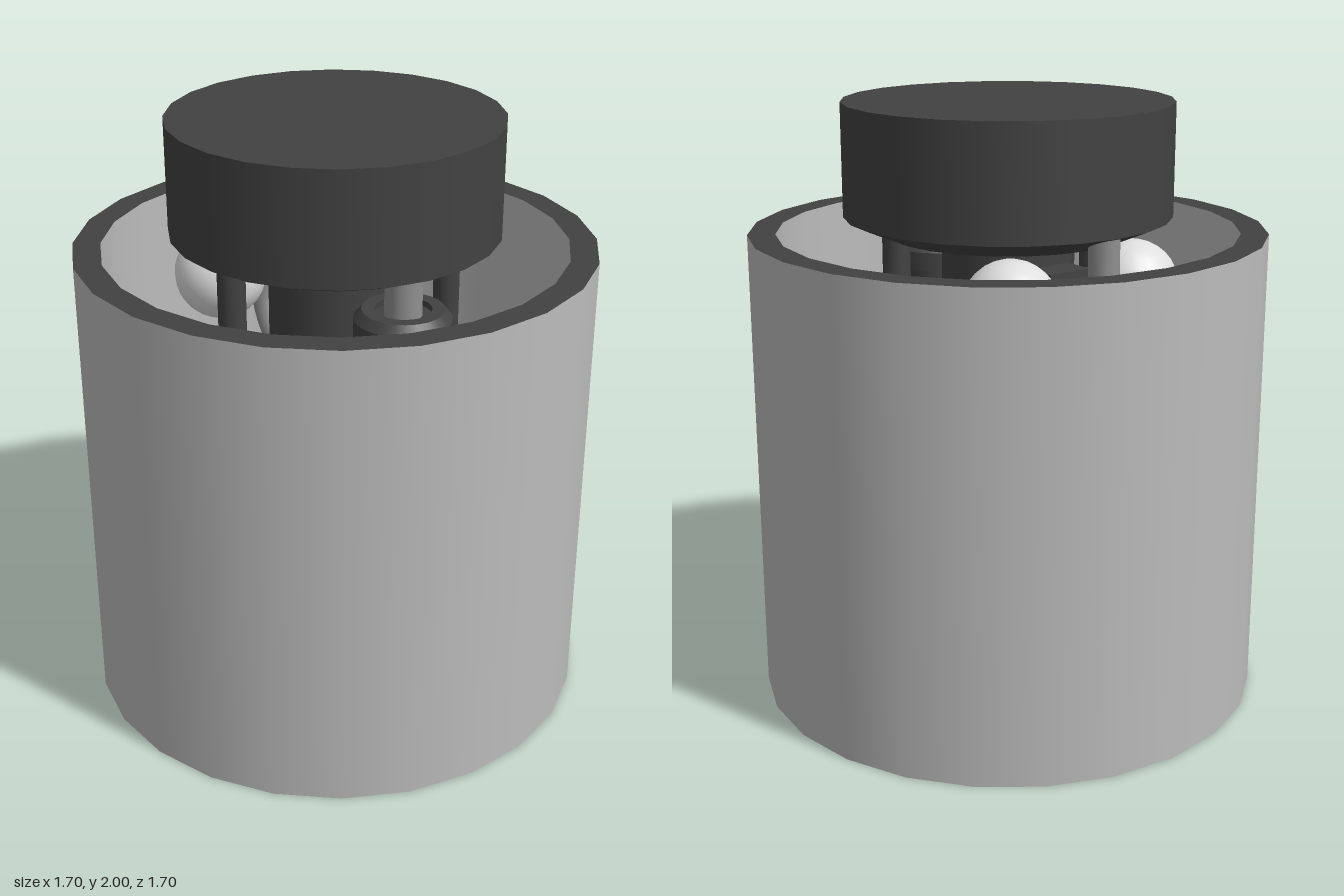
import * as THREE from 'three';

const mat = (name, color) => {
  const m = new THREE.MeshStandardMaterial({ color });
  m.name = name;
  return m;
};

export function createModel() {
  const model = new THREE.Group();
  model.name = 'shroudedEngine';
  const shell = mat('shell grey', 0xbcbcbc);
  const dark = mat('dark metal', 0x424242);
  const pipe = mat('pipe grey', 0x909090);
  const pale = mat('tank white', 0xdedede);

  const add = (name, geometry, material, x = 0, y = 0, z = 0) => {
    const mesh = new THREE.Mesh(geometry, material);
    mesh.name = name;
    mesh.position.set(x, y, z);
    model.add(mesh);
    return mesh;
  };
  // Revolve [radius, height] points; sharp profiles repeat their corners
  const lathe = (pts, sharp = true) => {
    const list = pts.flatMap(([r, y], i) =>
      sharp && i > 0 && i < pts.length - 1
        ? [new THREE.Vector2(r, y), new THREE.Vector2(r, y)]
        : [new THREE.Vector2(r, y)]);
    const geometry = new THREE.LatheGeometry(list, 24);
    geometry.normalizeNormals();
    return geometry;
  };
  const rod = (name, material, r, y0, y1, x, z) =>
    add(name, new THREE.CylinderGeometry(r, r, y1 - y0, 16), material, x, (y0 + y1) / 2, z);
  const tube = (name, r, pts) => {
    const path = new THREE.CatmullRomCurve3(pts.map((p) => new THREE.Vector3(...p)));
    return add(name, new THREE.TubeGeometry(path, 24, r, 12), pipe);
  };

  // Shroud: two walls and dark end rims
  const R = 0.85, r = 0.76, H = 1.58;
  add('shroudOuterWall', lathe([[R, 0], [R, H]]), shell);
  add('shroudInnerWall', lathe([[r, H], [r, 0]]), shell);
  add('shroudTopRim', lathe([[R, H], [r, H]]), dark);
  add('shroudBottomRim', lathe([[r, 0], [R, 0]]), dark);

  // Mounting cap with chamfered underside
  add('cap', lathe([[0, 1.57], [0.4, 1.57], [0.54, 1.63], [0.54, 2], [0, 2]]), dark);

  // Combustion chamber
  add('chamber', lathe([[0, 0.9], [0.15, 0.9], [0.22, 1.02], [0.22, 1.6]]), dark);
  add('chamberCollar', new THREE.CylinderGeometry(0.25, 0.25, 0.07, 24), dark, 0, 1.08, 0);

  // Bell nozzle, with a raised lip at its mouth
  add('nozzleLip', lathe([[0.4, 0], [0.425, 0], [0.44, 0.03], [0.44, 0.11], [0.41, 0.15]]), dark);
  add('nozzleOuter', lathe([[0.41, 0.13], [0.375, 0.26], [0.33, 0.4], [0.27, 0.58],
    [0.2, 0.76], [0.15, 0.92]], false), dark);
  add('nozzleInner', lathe([[0, 0.88], [0.12, 0.86], [0.18, 0.74], [0.25, 0.57],
    [0.31, 0.4], [0.36, 0.22], [0.4, 0]], false), dark);

  // Front pump with its feed and outlet pipes
  add('pump', lathe([[0, 1.08], [0.1, 1.08], [0.12, 1.14], [0.12, 1.4], [0.155, 1.4],
    [0.155, 1.46], [0.13, 1.49], [0.09, 1.49], [0.09, 1.47], [0, 1.47]]), dark, 0, 0, 0.4);
  rod('feedPipe', pipe, 0.06, 1.46, 1.61, 0, 0.4);
  tube('pumpOutlet', 0.05, [[0, 1.1, 0.4], [0, 1.0, 0.38], [0, 0.95, 0.28], [0, 0.95, 0.1]]);

  // Rear pipe curving into the chamber, and a valve block
  tube('rearPipe', 0.05, [[0, 1.63, -0.48], [0, 1.4, -0.48], [0, 1.2, -0.47],
    [0, 1.09, -0.38], [0, 1.07, -0.18]]);
  add('rearValve', new THREE.BoxGeometry(0.16, 0.14, 0.14), dark, 0, 1.42, -0.25);

  // Paired spherical tanks and support struts
  for (const [side, s] of [['left', 1], ['right', -1]]) {
    add(side + 'Tank', new THREE.SphereGeometry(0.155, 24, 16), pale, s * 0.25, 1.41, -0.334);
    rod(side + 'Strut', dark, 0.045, 1.06, 1.6, s * 0.41, 0.05);
    const arm = rod(side + 'StrutArm', dark, 0.04, 0.95, 1.21, s * 0.3, 0.05);
    arm.rotation.z = Math.PI / 2;
  }
  return model;
}
